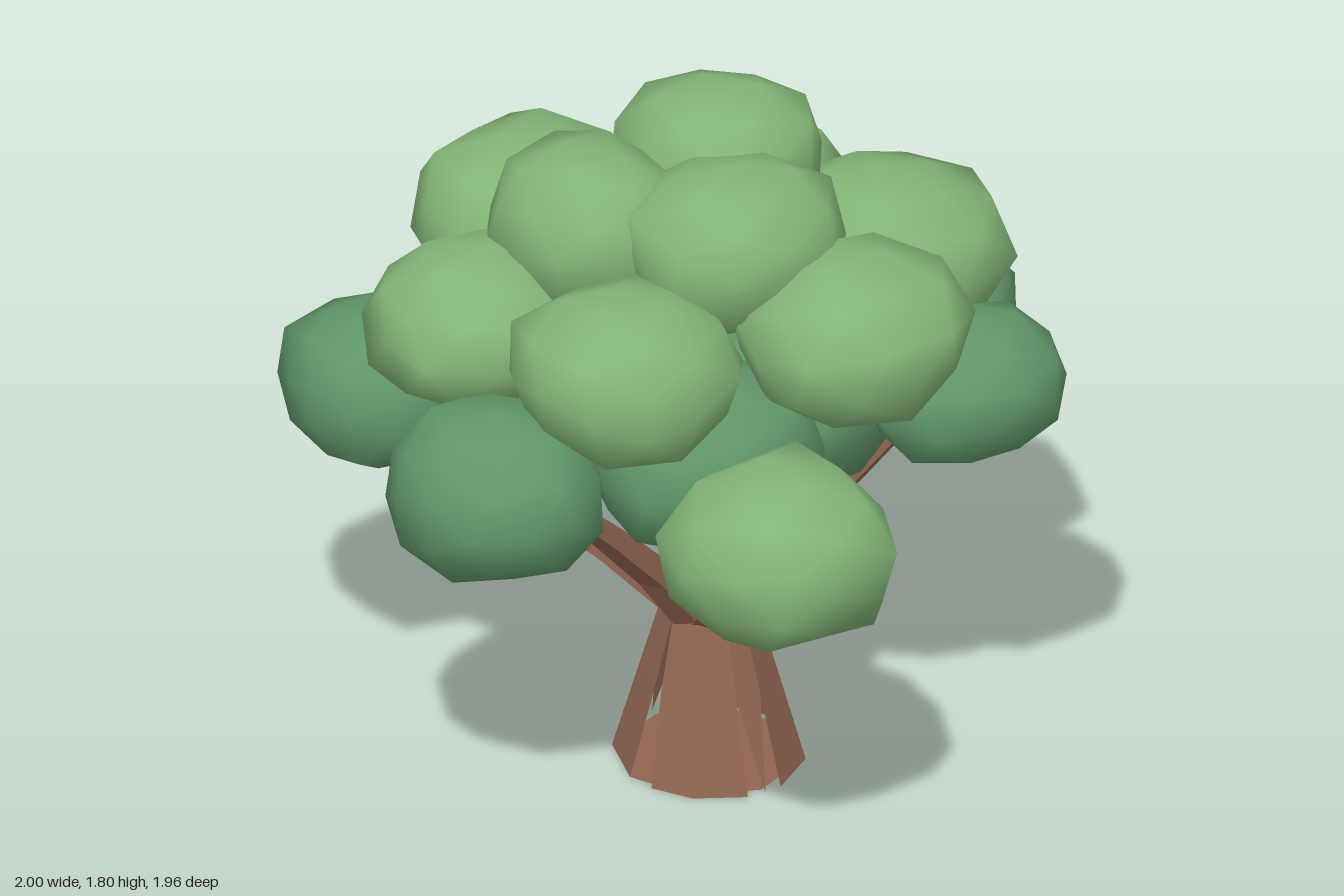
import * as THREE from 'three';
import { mergeVertices } from 'three/addons/utils/BufferGeometryUtils.js';

const mat = (name, color, side = THREE.FrontSide) => {
  const m = new THREE.MeshStandardMaterial({ color, side });
  m.name = name;
  return m;
};

// Small seeded generator for the irregular foliage
function seeded(seed) {
  let s = seed * 7919 + 17;
  return () => ((s = (s * 16807) % 2147483647) / 2147483647);
}

// Squashed, slightly boxy low-poly clump with smooth normals, fitted to exact half sizes
function clumpGeometry(seed, rx, ry, rz) {
  let g = new THREE.IcosahedronGeometry(1, 1);
  g.deleteAttribute('normal');
  g.deleteAttribute('uv');
  g = mergeVertices(g, 1e-3);
  const rnd = seeded(seed);
  for (let i = 0; i < 5; i++) rnd();
  g.rotateX(rnd() * 6);
  g.rotateY(rnd() * 6);
  const p = g.attributes.position, v = new THREE.Vector3();
  for (let i = 0; i < p.count; i++) {
    v.fromBufferAttribute(p, i);
    const n = 2.5;
    const k = Math.abs(v.x) ** n + Math.abs(v.y) ** n + Math.abs(v.z) ** n;
    v.multiplyScalar(k ** (-1 / n) * (0.93 + 0.14 * rnd()));
    p.setXYZ(i, v.x, v.y, v.z);
  }
  g.center();
  g.computeBoundingBox();
  const b = g.boundingBox.max;
  g.scale(rx / b.x, ry / b.y, rz / b.z);
  g.computeVertexNormals();
  return g;
}

// Flared trunk shell of separate walls, with narrow slits on four sides
function trunkGeometry() {
  const rings = [[0, 0.24, 0.26], [0.24, 0.175, 0.185], [0.45, 0.118, 0.118]];
  const pt = (deg, r) => {
    const a = THREE.MathUtils.degToRad(deg), [y, rx, rz] = rings[r];
    return [Math.cos(a) * rx, y, Math.sin(a) * rz];
  };
  const pos = [];
  const quad = (a, b, c, d) => pos.push(...a, ...c, ...b, ...b, ...c, ...d);
  // angles of the two side walls at each ring; they meet at the top
  const walls = [
    [[-78, -45, -18], [-78, -45, -12], [-78, -45, -8]],
    [[0, 40, 78], [-4, 40, 78], [-8, 40, 78]],
  ];
  for (const turn of [0, 180]) {
    for (const wall of walls) {
      for (let r = 0; r < 2; r++) {
        for (let i = 0; i < 2; i++) {
          quad(pt(wall[r][i] + turn, r), pt(wall[r][i + 1] + turn, r),
            pt(wall[r + 1][i] + turn, r + 1), pt(wall[r + 1][i + 1] + turn, r + 1));
        }
      }
    }
    // wedge between the walls, tapering to a point at the foot
    const [a, m, b] = [78 + turn, 90 + turn, 102 + turn];
    quad(pt(a, 1), pt(b, 1), pt(a, 2), pt(b, 2));
    pos.push(...pt(m, 0), ...pt(a, 1), ...pt(b, 1));
  }
  const g = new THREE.BufferGeometry();
  g.setAttribute('position', new THREE.Float32BufferAttribute(pos, 3));
  g.computeVertexNormals();
  return g;
}

// Tapered faceted limb rising from the trunk top and bending outward to its tip
function branchGeometry(x, y, z) {
  const base = 0.41, height = y - base, d = Math.hypot(x, z);
  const start = Math.min(0.045, d);
  let g = new THREE.CylinderGeometry(0.045, 0.075, height, 6, 3);
  g.rotateY(Math.atan2(x, z));
  g.translate(0, height / 2, 0);
  const p = g.attributes.position;
  for (let i = 0; i < p.count; i++) {
    const t = THREE.MathUtils.clamp(p.getY(i) / height, 0, 1);
    const out = start + (d - start) * t ** 1.15;
    p.setXYZ(i, p.getX(i) + x / d * out, p.getY(i) + base, p.getZ(i) + z / d * out);
  }
  g = g.toNonIndexed();
  g.computeVertexNormals();
  return g;
}

export function createModel() {
  const tree = new THREE.Group();
  tree.name = 'tree';
  const bark = mat('brown bark', 0x8f6450, THREE.DoubleSide);
  const light = mat('light green leaves', 0x83b577);
  const dark = mat('dark green leaves', 0x609769);
  const add = (parent, name, geo, material) => {
    const mesh = new THREE.Mesh(geo, material);
    mesh.name = name;
    parent.add(mesh);
    return mesh;
  };

  // Trunk and its closed foot
  add(tree, 'trunk', trunkGeometry(), bark);
  const foot = new THREE.CircleGeometry(0.24, 8);
  foot.rotateX(Math.PI / 2);
  add(tree, 'trunkFoot', foot, bark);

  // Branches fan out from the trunk top: tip x, y, z
  const branches = new THREE.Group();
  branches.name = 'branches';
  tree.add(branches);
  [
    [-0.22, 0.87, 0.56], [-0.54, 0.87, -0.52], [0.17, 1.08, -0.58],
    [0.64, 0.88, -0.17], [0.38, 0.98, 0.3], [-0.52, 0.92, 0.1], [0.04, 1.05, -0.02],
  ].forEach((tip) => add(branches, 'branch', branchGeometry(...tip), bark));

  // Foliage clumps: centre x, y, z, then half sizes
  const crown = {
    upperFoliage: [light, [
      [0.15, 1.6, -0.17, 0.26, 0.2, 0.26],
      [-0.25, 1.54, -0.15, 0.25, 0.2, 0.27],
      [-0.02, 1.55, 0.14, 0.28, 0.21, 0.26],
      [-0.43, 1.35, 0.26, 0.29, 0.21, 0.29],
      [0.15, 1.38, 0.43, 0.3, 0.22, 0.29],
      [0.51, 1.35, 0.06, 0.3, 0.22, 0.31],
      [0.34, 1.37, -0.42, 0.27, 0.21, 0.26],
      [-0.14, 1.33, -0.62, 0.3, 0.21, 0.27],
      [-0.55, 1.32, -0.21, 0.28, 0.21, 0.28],
      [-0.26, 0.99, 0.7, 0.29, 0.22, 0.28],
    ]],
    lowerFoliage: [dark, [
      [-0.6, 0.98, -0.61, 0.24, 0.2, 0.25],
      [0.22, 1.11, -0.72, 0.25, 0.2, 0.26],
      [0.73, 1.0, -0.19, 0.27, 0.21, 0.3],
      [0.49, 1.1, 0.39, 0.26, 0.2, 0.25],
      [-0.74, 1.05, 0.15, 0.26, 0.23, 0.28],
      [0.15, 1.05, 0.13, 0.29, 0.22, 0.28],
      [-0.2, 1.06, 0.27, 0.29, 0.23, 0.28],
      [-0.28, 1.08, -0.26, 0.29, 0.22, 0.28],
      [0.22, 1.1, -0.28, 0.28, 0.21, 0.28],
    ]],
  };
  let seed = 1;
  for (const [name, [material, clumps]] of Object.entries(crown)) {
    const group = new THREE.Group();
    group.name = name;
    tree.add(group);
    for (const [x, y, z, rx, ry, rz] of clumps) {
      add(group, 'leafClump', clumpGeometry(seed++, rx, ry, rz), material).position.set(x, y, z);
    }
  }
  return tree;
}
